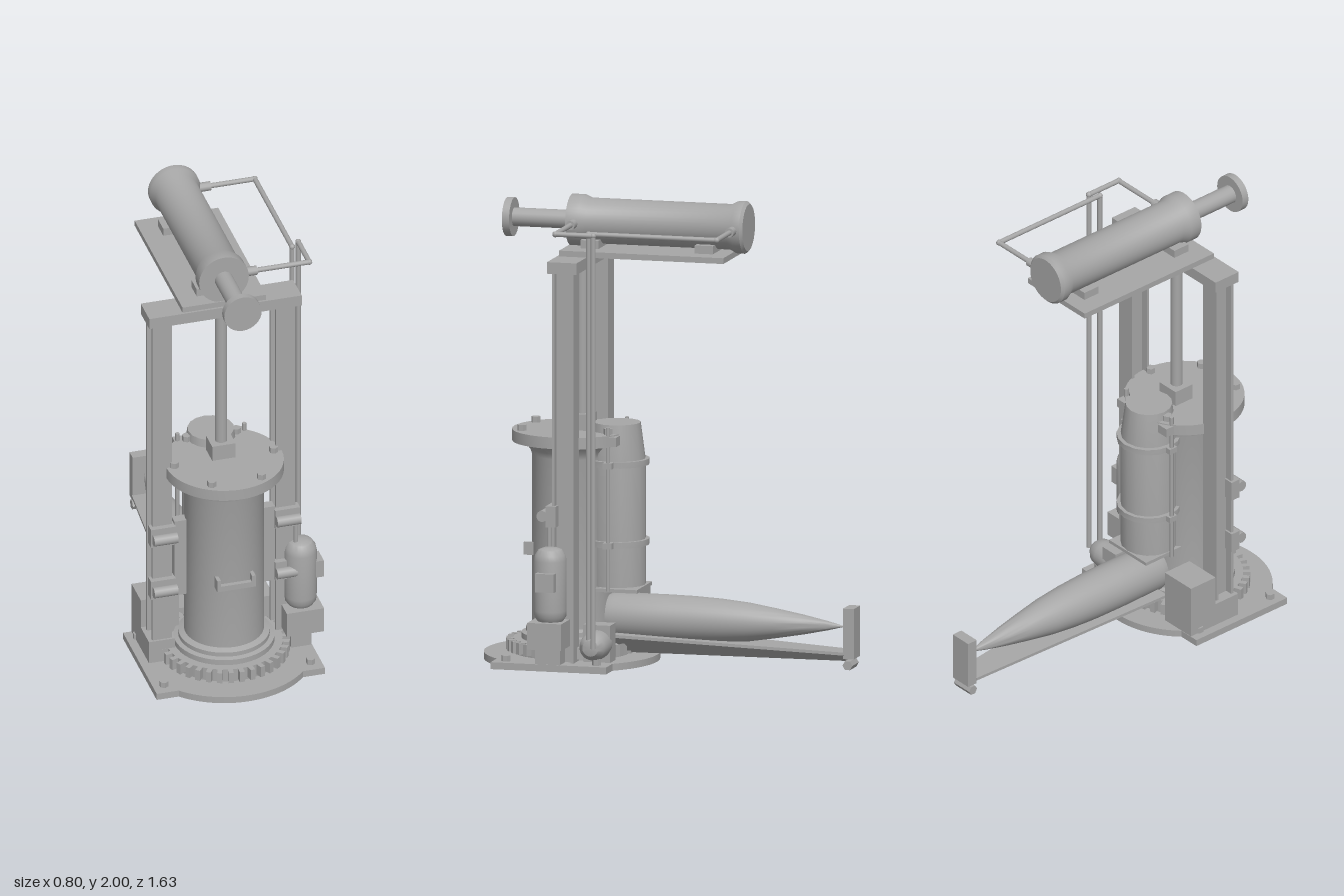
import * as THREE from 'three';
import { toCreasedNormals } from 'three/addons/utils/BufferGeometryUtils.js';
import { ConvexGeometry } from 'three/addons/geometries/ConvexGeometry.js';

const CX = -0.03; // centre line of the machine
const CZ = 0.44; // axis of the main cylinder

export function createModel() {
  const root = new THREE.Group();
  const steel = new THREE.MeshStandardMaterial({ color: 0xa6a6a6 });
  steel.name = 'grey steel';

  function add(name, geometry, x = 0, y = 0, z = 0) {
    const mesh = new THREE.Mesh(geometry, steel);
    mesh.name = name;
    mesh.position.set(x, y, z);
    root.add(mesh);
    return mesh;
  }
  // Box given by its limits on each axis
  const box = (name, x0, x1, y0, y1, z0, z1) =>
    add(name, new THREE.BoxGeometry(x1 - x0, y1 - y0, z1 - z0), (x0 + x1) / 2, (y0 + y1) / 2, (z0 + z1) / 2);
  // Turned part from [radius, height] pairs
  const turned = (profile, sides = 40) =>
    toCreasedNormals(new THREE.LatheGeometry(profile.map(p => new THREE.Vector2(p[0], p[1])), sides), 0.6);
  // Round bar between two points
  function rod(name, a, b, r, sides = 12) {
    const p = new THREE.Vector3(...a), q = new THREE.Vector3(...b);
    const mesh = add(name, new THREE.CylinderGeometry(r, r, p.distanceTo(q), sides));
    mesh.position.copy(p).lerp(q, 0.5);
    mesh.quaternion.setFromUnitVectors(new THREE.Vector3(0, 1, 0), q.sub(p).normalize());
    return mesh;
  }
  function bolt(name, x, y, z) {
    add(name, toCreasedNormals(new THREE.CylinderGeometry(0.02, 0.02, 0.03, 6), 0.5), x, y + 0.01, z);
  }

  // Base plate: a rectangle joined with a disc
  const R = 0.375, h = 0.255, a = Math.asin(h / R), w = 0.3725;
  const outline = new THREE.Shape();
  outline.moveTo(w, -h);
  outline.lineTo(w, h);
  outline.absarc(0, 0, R, a, Math.PI - a, false);
  outline.lineTo(-w, h);
  outline.lineTo(-w, -h);
  outline.absarc(0, 0, R, Math.PI + a, 2 * Math.PI - a, false);
  const plate = new THREE.ExtrudeGeometry(outline, { depth: 0.03, bevelEnabled: false, curveSegments: 32 });
  plate.rotateX(-Math.PI / 2);
  add('basePlate', plate, CX, 0, CZ);
  for (const s of [-1, 1]) for (const z of [0.24, 0.64]) bolt('baseBolt', CX + s * 0.325, 0.03, z);

  // Ring gear around the foot of the main cylinder
  add('ringGear', new THREE.CylinderGeometry(0.25, 0.25, 0.06, 48), CX, 0.06, CZ);
  const teeth = 36;
  for (let i = 0; i < teeth; i++) {
    const t = (i / teeth) * Math.PI * 2;
    const tooth = add('gearTooth', new THREE.BoxGeometry(0.022, 0.05, 0.05),
      CX + Math.sin(t) * 0.255, 0.065, CZ + Math.cos(t) * 0.255);
    tooth.rotation.y = t;
  }

  // Main cylinder with foot collar and top flange
  add('mainCylinder', turned([[0, 0.08], [0.215, 0.08], [0.215, 0.115], [0.195, 0.12], [0.195, 0.14], [0.17, 0.15],
    [0.17, 0.88], [0.178, 0.905], [0.2, 0.93], [0.2, 0.94], [0.255, 0.94], [0.255, 0.99], [0, 0.99]], 48), CX, 0, CZ);
  for (let i = 0; i < 6; i++) {
    const t = ((i + 0.5) / 6) * Math.PI * 2;
    bolt('flangeBolt', CX + Math.sin(t) * 0.22, 0.99, CZ + Math.cos(t) * 0.22);
  }

  // Handle on the front of the cylinder
  box('handleBar', CX - 0.085, CX + 0.085, 0.45, 0.475, 0.61, 0.63);
  for (const s of [-1, 1]) {
    const x = CX + s * 0.077;
    box('handleEnd', x - 0.008, x + 0.008, 0.45, 0.505, 0.58, 0.63);
  }

  // Columns, guide plates and guide rollers on both sides
  for (const s of [-1, 1]) {
    const side = (name, i, o, ...r) => box(name, CX + Math.min(s * i, s * o), CX + Math.max(s * i, s * o), ...r);
    side('columnFrontFlange', 0.23, 0.317, 0.03, 1.71, 0.428, 0.44);
    side('columnBackFlange', 0.23, 0.317, 0.03, 1.71, 0.345, 0.358);
    side('columnWeb', 0.262, 0.285, 0.03, 1.71, 0.357, 0.429);
    side('guidePlate', 0.155, 0.222, 0.35, 0.72, 0.405, 0.45);
    for (const y of [0.4, 0.66]) {
      side('rollerBracket', 0.22, 0.33, y - 0.045, y + 0.045, 0.42, 0.465);
      rod('guideRoller', [CX + s * 0.22, y, 0.482], [CX + s * 0.325, y, 0.482], 0.024, 16);
    }
  }

  // Lifting rod and its clevis
  box('liftBlock', CX - 0.052, CX + 0.052, 0.98, 1.06, 0.345, 0.44);
  rod('liftRod', [CX, 1, 0.395], [CX, 1.72, 0.395], 0.026, 20);

  // Top beam and platform
  box('topBeam', -0.365, 0.31, 1.71, 1.76, 0.325, 0.455);
  box('topPlatform', CX - 0.185, CX + 0.185, 1.76, 1.785, -0.28, 0.445);
  for (const z of [0.335, -0.17]) box('cradleFoot', CX - 0.102, CX + 0.102, 1.78, 1.82, z - 0.04, z + 0.04);

  // Horizontal ram on the platform
  const ram = add('ramCylinder', turned([[0, -0.34], [0.1, -0.34], [0.112, -0.328], [0.112, -0.295], [0.097, -0.265],
    [0.097, 0.355], [0.11, 0.385], [0.11, 0.44], [0, 0.44]]), CX, 1.89, 0);
  ram.rotation.x = Math.PI / 2;
  rod('ramRod', [CX, 1.89, 0.43], [CX, 1.89, 0.7], 0.04, 24);
  rod('ramHead', [CX, 1.89, 0.695], [CX, 1.89, 0.727], 0.083, 32);

  // Pipes from the ram ends down to the pump
  for (const [z, x, zDown] of [[0.405, 0.358, 0.238], [-0.297, 0.322, 0.268]]) {
    const path = [[0.06, 1.89, z], [x, 1.89, z], [x, 1.89, zDown], [x, 0.11, zDown]];
    rod('pipeFitting', path[0], [0.125, 1.89, z], 0.02);
    for (let i = 0; i < 3; i++) {
      rod('pipe', path[i], path[i + 1], 0.011);
      if (i) add('pipeElbow', new THREE.SphereGeometry(0.013, 12, 8), ...path[i]);
    }
  }

  // Pump with a domed end
  const pump = add('pump', turned([[0, 0], [0.055, 0], [0.062, 0.04], [0.062, 0.1], [0.055, 0.135], [0.035, 0.16], [0, 0.168]], 24),
    0.175, 0.107, 0.257);
  pump.rotation.z = -Math.PI / 2;
  box('pumpBlock', 0.14, 0.225, 0.03, 0.19, 0.2, 0.32);
  box('controlBox', -0.365, -0.195, 0.03, 0.27, 0.187, 0.325);
  box('columnFoot', -0.365, -0.25, 0.03, 0.135, 0.325, 0.45);

  // Pressure tank on its stand
  box('tankStandLeg', 0.25, 0.34, 0.03, 0.1, 0.39, 0.5);
  box('tankStand', 0.225, 0.39, 0.1, 0.215, 0.37, 0.52);
  add('pressureTank', turned([[0, 0.21], [0.055, 0.215], [0.068, 0.235], [0.07, 0.26], [0.07, 0.475], [0.065, 0.5],
    [0.05, 0.522], [0.03, 0.53], [0, 0.532]], 28), 0.308, 0, 0.441);
  box('tankGauge', 0.36, 0.4, 0.35, 0.43, 0.4, 0.482);
  rod('tankPipe', [0.285, 0.52, 0.452], [0.285, 0.64, 0.452], 0.01);

  // Upright charge container behind the cylinder, with bands and side rods
  add('container', turned([[0, 0.33], [0.122, 0.33], [0.122, 0.86], [0.1, 1.027], [0, 1.027]], 16), CX, 0, 0.24);
  for (const y of [0.515, 0.86]) {
    add('containerBand', toCreasedNormals(new THREE.CylinderGeometry(0.138, 0.138, 0.026, 16), 0.6), CX, y, 0.24);
    box('bandLug', CX - 0.16, CX + 0.16, y - 0.013, y + 0.013, 0.22, 0.26);
  }
  for (const s of [-1, 1]) {
    rod('containerRod', [CX + s * 0.148, 0.32, 0.24], [CX + s * 0.148, 1.025, 0.24], 0.009, 10);
    box('rodBracket', CX + s * 0.132 - 0.028, CX + s * 0.132 + 0.028, 0.945, 0.985, 0.2, 0.25);
  }
  box('containerShelf', CX - 0.12, CX + 0.12, 0.31, 0.325, 0.12, 0.34);

  // Pointed shell lying on its tray
  const shell = turned([[0, -0.27], [0.095, -0.27], [0.102, -0.24], [0.102, -0.02], [0.1, 0.1], [0.094, 0.22], [0.083, 0.34],
    [0.064, 0.46], [0.043, 0.58], [0.02, 0.69], [0, 0.768]], 36);
  shell.rotateX(-Math.PI / 2);
  add('shell', shell, CX, 0.19, 0);

  // Tapering tray with sloping sides
  const corners = [];
  for (const [z, half, top] of [[0.22, 0.14, 0.132], [-0.775, 0.053, 0.086]]) {
    for (const s of [-1, 1]) {
      corners.push(new THREE.Vector3(s * half, top, z), new THREE.Vector3(s * half, top - 0.013, z),
        new THREE.Vector3(s * half * 0.35, 0.045, z));
    }
  }
  add('loadingTray', new ConvexGeometry(corners), CX);
  box('trayEndPost', CX - 0.05, CX + 0.05, 0.058, 0.275, -0.818, -0.77);
  const roller = rod('trayRoller', [CX - 0.05, 0.03, -0.79], [CX + 0.05, 0.03, -0.79], 0.022, 6);
  roller.geometry = toCreasedNormals(roller.geometry, 0.5);

  return root;
}
